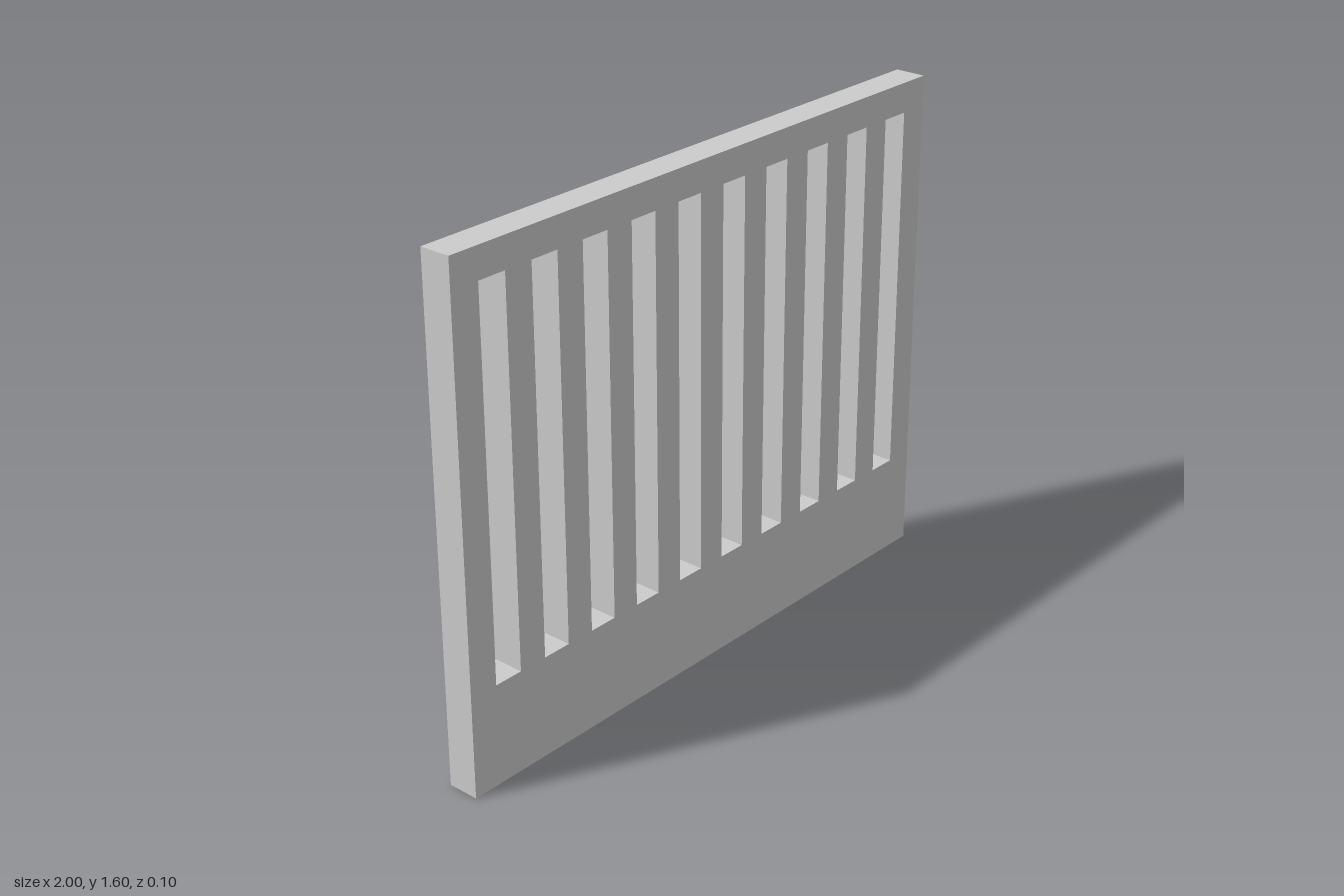
import * as THREE from 'three';

const WIDTH = 2, HEIGHT = 1.6, DEPTH = 0.1;
const SLOTS = 10, SLOT_BOTTOM = 0.32, SLOT_TOP = 1.505;
const STEP = WIDTH / (2 * SLOTS + 1); // slots and bars share one width

// Rectangle outline from corner to corner
function rectangle(path, x0, y0, x1, y1) {
  path.moveTo(x0, y0);
  path.lineTo(x1, y0);
  path.lineTo(x1, y1);
  path.lineTo(x0, y1);
  path.closePath();
  return path;
}

export function createModel() {
  const group = new THREE.Group();
  group.name = 'slattedPanel';

  // Solid board with a row of evenly spaced upright slots
  const board = rectangle(new THREE.Shape(), -WIDTH / 2, 0, WIDTH / 2, HEIGHT);
  for (let i = 0; i < SLOTS; i++) {
    const x = -WIDTH / 2 + STEP * (2 * i + 1);
    board.holes.push(rectangle(new THREE.Path(), x, SLOT_BOTTOM, x + STEP, SLOT_TOP));
  }

  const geometry = new THREE.ExtrudeGeometry(board, { depth: DEPTH, bevelEnabled: false });
  geometry.translate(0, 0, -DEPTH / 2);

  const panel = new THREE.Mesh(
    geometry,
    new THREE.MeshStandardMaterial({ color: 0xcccccc, flatShading: true })
  );
  panel.name = 'panel';
  group.add(panel);
  return group;
}
